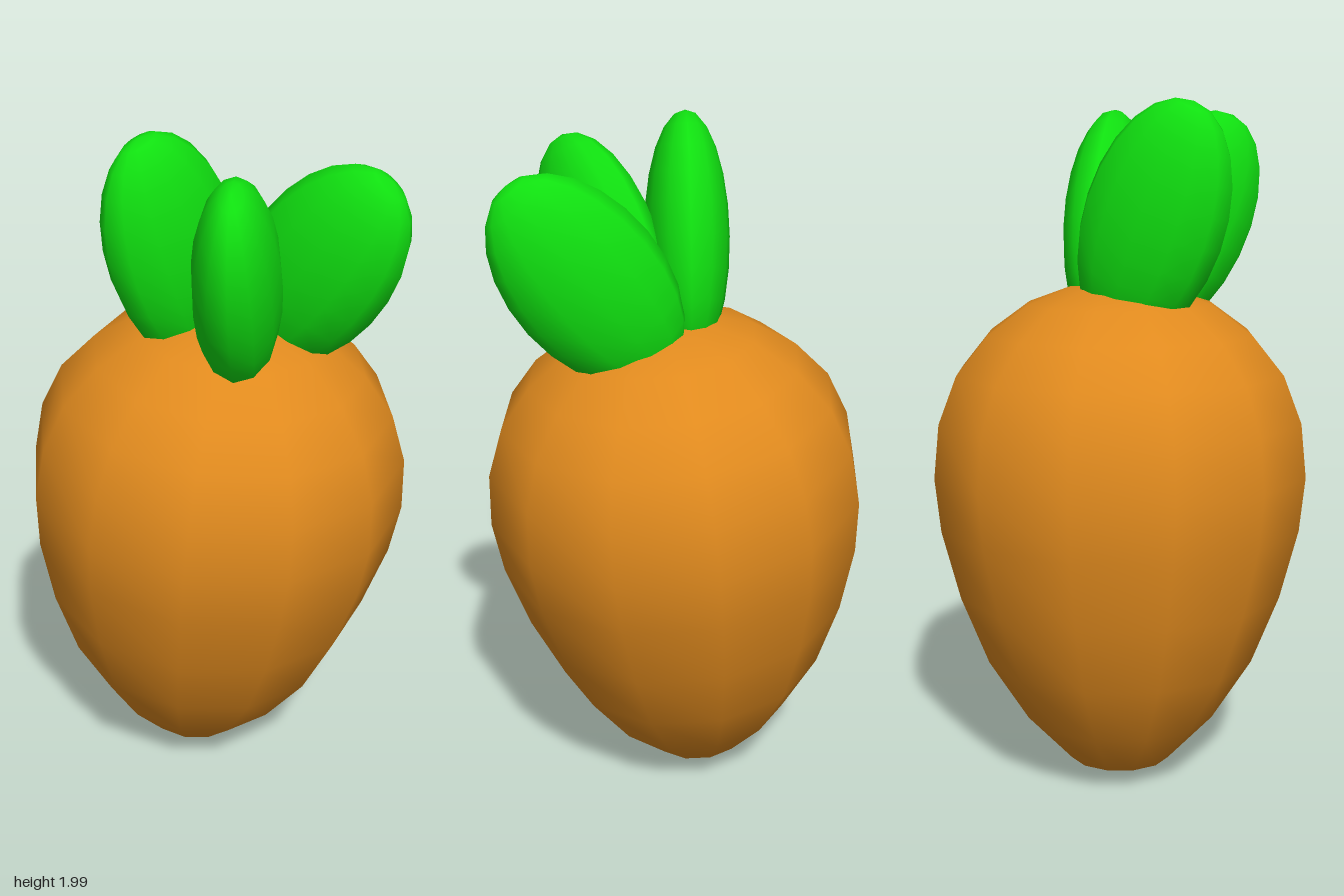
import * as THREE from 'three';

const orange = new THREE.MeshStandardMaterial({ color: 0xe08a1e });
const green = new THREE.MeshStandardMaterial({ color: 0x10e010 });
const rad = THREE.MathUtils.degToRad;

// Root: twelve-sided tapered body, leaning slightly forward about its widest ring
function makeRoot() {
  const profile = [
    [0, 0], [0.148, 0.052], [0.28, 0.19], [0.395, 0.37], [0.475, 0.57], [0.528, 0.77], [0.545, 0.925],
    [0.53, 1.08], [0.478, 1.215], [0.388, 1.325], [0.27, 1.41], [0.14, 1.458], [0, 1.472],
  ].map(([r, y]) => new THREE.Vector2(r, y - 0.925));
  const root = new THREE.Mesh(new THREE.LatheGeometry(profile, 12, rad(25.7)), orange);
  root.name = 'root';
  root.position.y = 0.93;
  root.rotation.set(0.095, 0, -0.018);
  return root;
}

// Leaf: flattened ellipsoid, tilted outwards and then turned to its heading
function makeLeaf(name, x, y, z, heading, tilt) {
  const geometry = new THREE.SphereGeometry(1, 12, 12).scale(0.21, 0.35, 0.12);
  const leaf = new THREE.Mesh(geometry, green);
  leaf.name = name;
  leaf.position.set(x, y, z);
  leaf.rotation.set(0, rad(heading), rad(-tilt), 'YXZ');
  return leaf;
}

export function createModel() {
  const group = new THREE.Group();
  group.name = 'carrot';
  group.add(
    makeRoot(),
    makeLeaf('frontLeaf', 0.09, 1.625, 0.27, -90, 37.3),
    makeLeaf('sideLeaf', -0.146, 1.62, 0.168, -152, 27),
    makeLeaf('backLeaf', -0.105, 1.663, -0.065, 166, 19.6),
  );
  return group;
}
